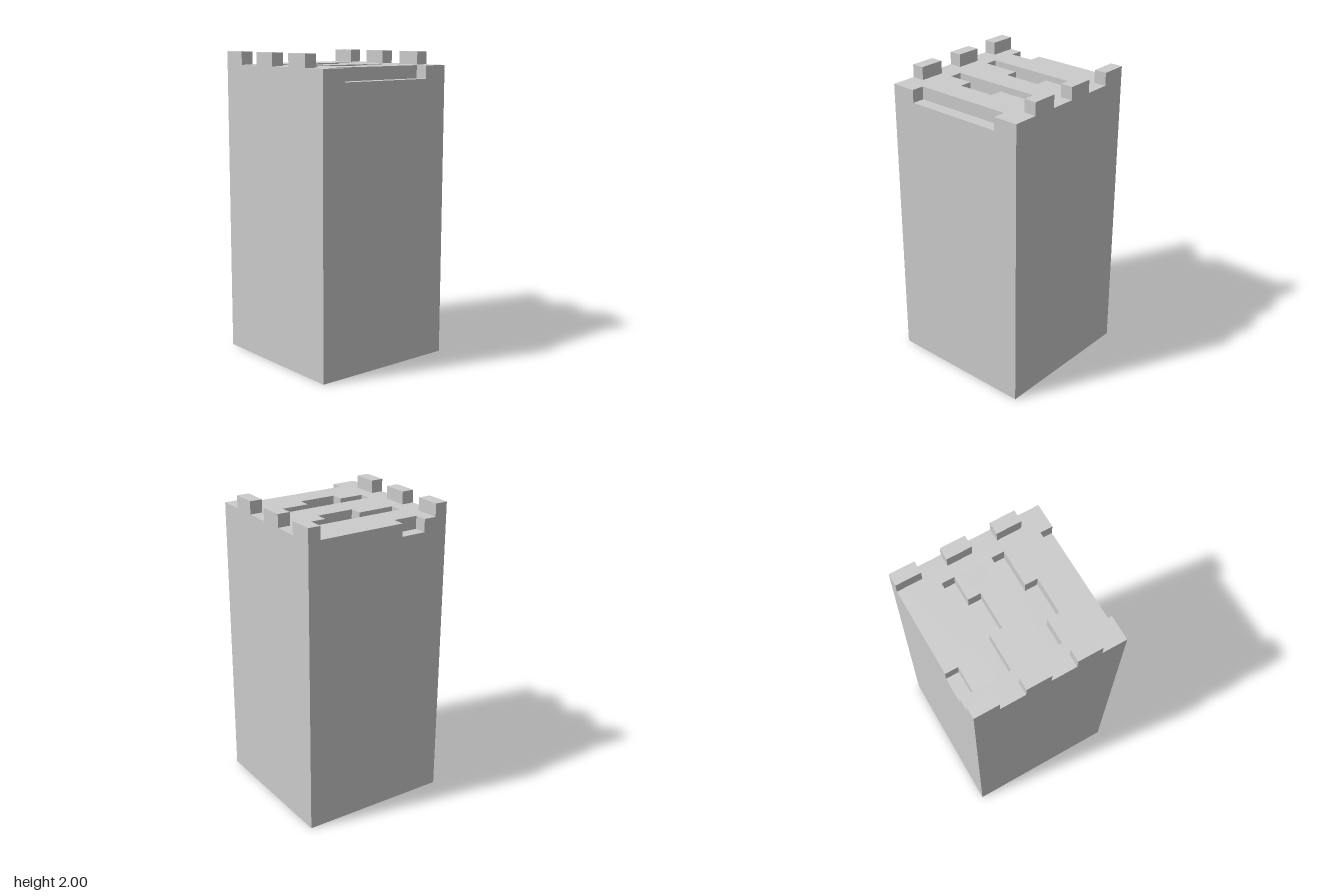
import * as THREE from 'three';

const U = 1 / 12; // every size is a multiple of this unit

export function createModel() {
  const group = new THREE.Group();
  const material = new THREE.MeshStandardMaterial({ color: 0xcccccc, flatShading: true });

  function add(name, geometry, x, y, z) {
    const mesh = new THREE.Mesh(geometry, material);
    mesh.name = name;
    mesh.position.set(x * U, y * U, z * U);
    group.add(mesh);
  }
  const points = (list) => list.map(([x, z]) => new THREE.Vector2(x * U, z * U));

  // Solid tower block, up to the floor of the recesses
  add('towerBody', new THREE.BoxGeometry(12 * U, 22 * U, 12 * U), 0, 11, 0);

  // Roof layer: notched on both side edges, drawn in x and z
  const roof = new THREE.Shape(points([
    [-6, -6], [6, -6], [6, -4], [5, -4], [5, 4], [6, 4], [6, 6],
    [-6, 6], [-6, 4], [-5, 4], [-5, 2], [-6, 2],
  ]));
  // Two long slots, each with a side pocket three units long
  for (const [x, pocket] of [[-3, -2], [1, -1]]) {
    roof.holes.push(new THREE.Path(points([
      [x, -4], [x + 1, -4], [x + 1, pocket], [x + 2, pocket],
      [x + 2, pocket + 3], [x + 1, pocket + 3], [x + 1, 4], [x, 4],
    ])));
  }
  const roofGeometry = new THREE.ExtrudeGeometry(roof, { depth: U, bevelEnabled: false });
  roofGeometry.rotateX(Math.PI / 2); // shape y becomes z, extrusion runs down
  add('slottedRoof', roofGeometry, 0, 23, 0);

  // Battlements along the front and back edges
  for (const [side, z] of [['front', 5.5], ['back', -5.5]]) {
    for (const x of [-5, -1, 3]) {
      add(side + 'Merlon', new THREE.BoxGeometry(2 * U, U, U), x, 23.5, z);
    }
  }
  return group;
}
